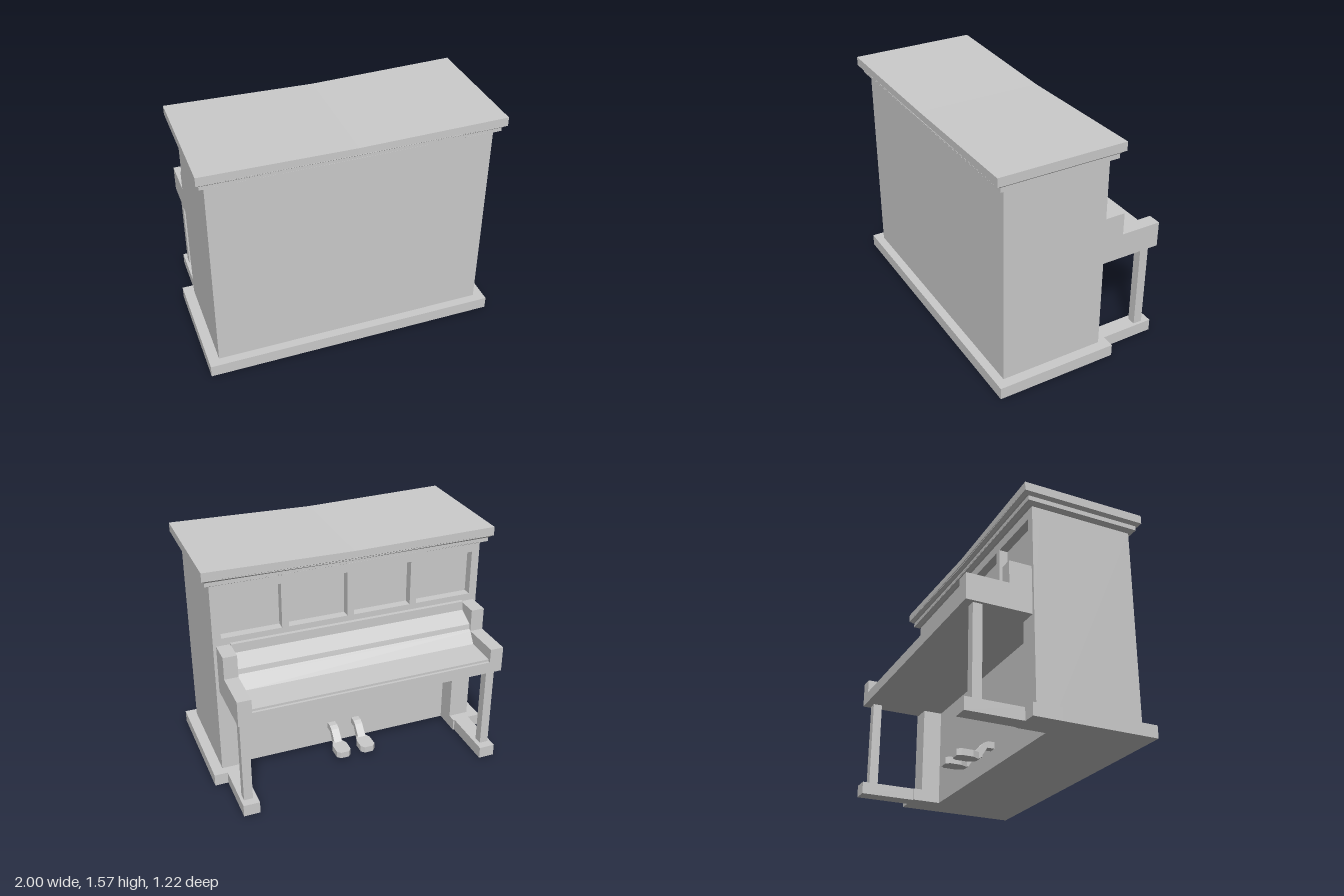
import * as THREE from 'three';

const mat = new THREE.MeshStandardMaterial({ color: 0xcccccc, flatShading: true });

export function createModel() {
  const model = new THREE.Group();

  function add(name, geometry) {
    const mesh = new THREE.Mesh(geometry, mat);
    mesh.name = name;
    model.add(mesh);
    return mesh;
  }

  // Box given by its limits
  function box(name, x0, x1, y0, y1, z0, z1) {
    const g = new THREE.BoxGeometry(x1 - x0, y1 - y0, z1 - z0);
    g.translate((x0 + x1) / 2, (y0 + y1) / 2, (z0 + z1) / 2);
    return add(name, g);
  }

  // Side profile of [z, y] points, extruded along x about centre cx
  function profile(name, points, width, cx = 0) {
    const shape = new THREE.Shape(points.map(([z, y]) => new THREE.Vector2(z, y)));
    const g = new THREE.ExtrudeGeometry(shape, { depth: width, bevelEnabled: false });
    g.translate(0, 0, -width / 2).rotateY(-Math.PI / 2).translate(cx, 0, 0);
    return add(name, g);
  }

  // Cornice layer: box whose bottom is drawn in by inset, sagging at mid length
  function layer(name, y0, y1, hx, z0, z1, inset, sag) {
    const g = new THREE.BoxGeometry(2, 1, 1, 2, 1, 1);
    const p = g.attributes.position;
    for (let i = 0; i < p.count; i++) {
      const low = p.getY(i) < 0;
      const mid = Math.abs(p.getX(i)) < 0.5;
      const d = (low ? inset : 0) + (mid ? sag * 0.5 : 0);
      p.setXYZ(i, p.getX(i) * (hx - (low ? inset : 0)),
        (low ? y0 : y1) - (mid ? sag : 0),
        p.getZ(i) < 0 ? z0 + d : z1 - d);
    }
    g.computeVertexNormals();
    return add(name, g);
  }

  // Case
  box('caseBack', -0.93, 0.93, 0.08, 1.45, -0.04, 0.543);
  box('upperPanel', -0.93, 0.93, 0.69, 1.45, -0.114, -0.04);
  box('base', -1, 1, 0, 0.083, -0.04, 0.602);

  // Upper frame with four recessed panels
  const frame = new THREE.Shape([[-0.93, 0.69], [0.93, 0.69], [0.93, 1.45], [-0.93, 1.45]]
    .map(([x, y]) => new THREE.Vector2(x, y)));
  for (let i = 0; i < 4; i++) {
    const x0 = -0.875 + i * 0.449, x1 = x0 + 0.403;
    frame.holes.push(new THREE.Path([[x0, 1.07], [x0, 1.38], [x1, 1.38], [x1, 1.07]]
      .map(([x, y]) => new THREE.Vector2(x, y))));
  }
  const frameGeometry = new THREE.ExtrudeGeometry(frame, { depth: 0.06, bevelEnabled: false });
  add('upperFrame', frameGeometry.translate(0, 0, -0.174));

  // Cornice and lid
  layer('lowerMouldingSlope', 1.445, 1.465, 0.965, -0.217, 0.58, 0.028, 0.003);
  layer('lowerMoulding', 1.46, 1.497, 0.965, -0.217, 0.58, 0, 0.006);
  layer('lidSlope', 1.492, 1.515, 0.987, -0.25, 0.613, 0.022, 0.01);
  layer('lid', 1.51, 1.57, 0.987, -0.25, 0.613, 0, 0.018);

  // Keybed and sloping fallboard between the cheeks
  profile('keybed', [
    [-0.174, 0.69], [-0.174, 0.98], [-0.31, 0.91], [-0.315, 0.875], [-0.33, 0.865],
    [-0.38, 0.79], [-0.593, 0.785], [-0.593, 0.77], [-0.61, 0.77], [-0.61, 0.69],
  ], 1.64);
  box('shelfRail', -0.82, 0.82, 0.96, 1.03, -0.2, -0.17);

  // Mirrored parts
  for (const s of [-1, 1]) {
    const side = (name, a, b, ...rest) => box(name, Math.min(s * a, s * b), Math.max(s * a, s * b), ...rest);
    side('sidePost', 0.79, 0.93, 0.08, 0.69, -0.174, -0.04);
    side('baseEnd', 0.79, 1, 0, 0.083, -0.235, -0.04);
    side('foot', 0.8, 0.91, 0, 0.083, -0.612, -0.235);
    side('frontLeg', 0.83, 0.89, 0.083, 0.69, -0.556, -0.494);
    profile('cheek', [
      [-0.174, 0.69], [-0.174, 1.02], [-0.328, 1.02], [-0.328, 0.865], [-0.61, 0.865], [-0.61, 0.69],
    ], 0.092, s * 0.864);

    // Pedal: bent stem and a flat plate with cut corners
    profile('pedalStem', [
      [-0.04, 0.165], [-0.085, 0.165], [-0.115, 0.15], [-0.18, 0.075],
      [-0.18, 0.04], [-0.14, 0.04], [-0.09, 0.12], [-0.04, 0.12],
    ], 0.055, s * 0.09);
    const plate = new THREE.Shape([[-0.028, 0.15], [0.028, 0.15], [0.052, 0.2], [0.052, 0.28],
      [0.03, 0.305], [-0.03, 0.305], [-0.052, 0.28], [-0.052, 0.2]]
      .map(([x, y]) => new THREE.Vector2(x, y)));
    const plateGeometry = new THREE.ExtrudeGeometry(plate, { depth: 0.045, bevelEnabled: false });
    add('pedalPlate', plateGeometry.rotateX(-Math.PI / 2).translate(s * 0.09, 0.035, 0));
  }
  return model;
}
